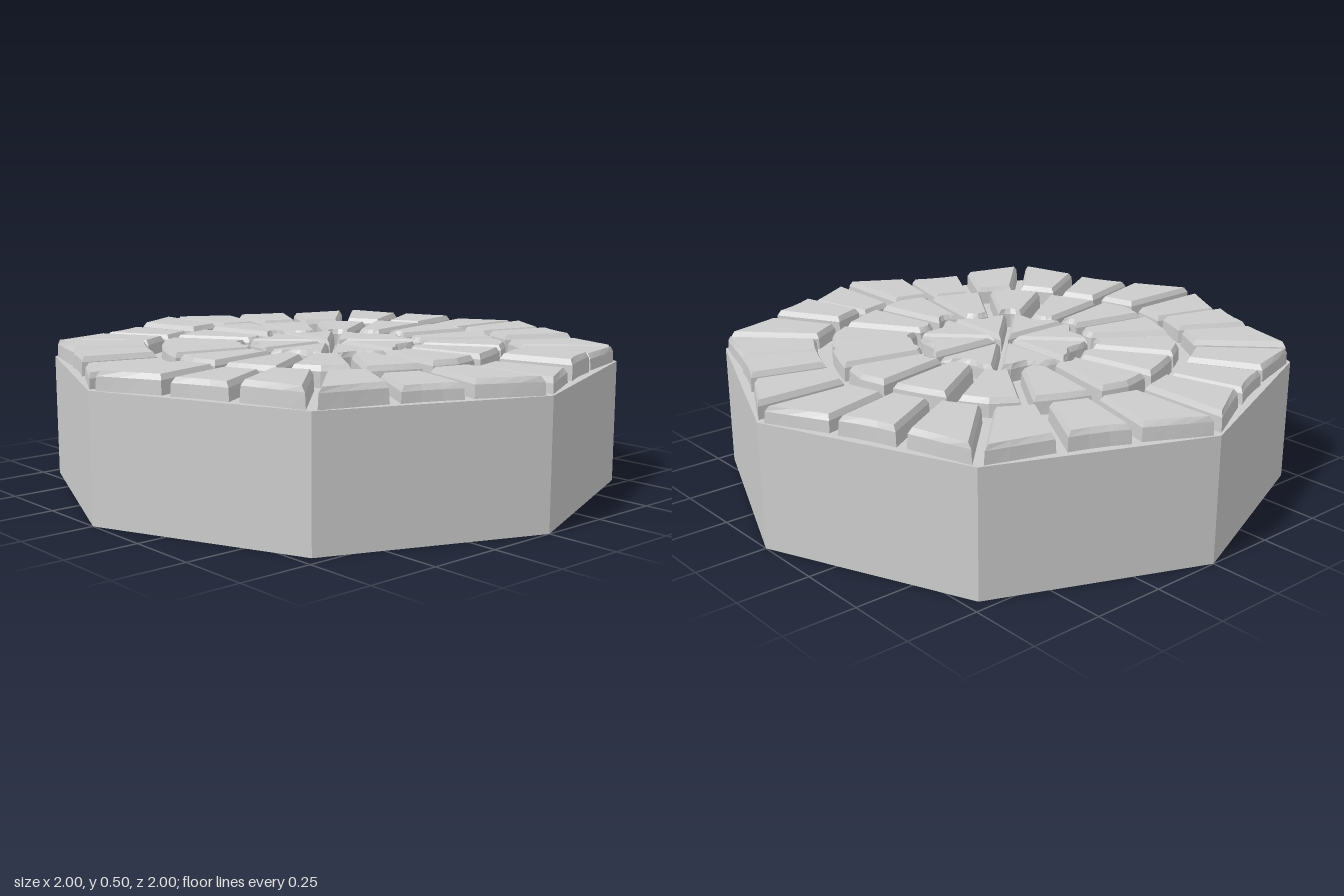
import * as THREE from 'three';

const material = new THREE.MeshStandardMaterial({ color: 0xcccccc, flatShading: true, side: THREE.DoubleSide });
const SECTOR = Math.PI / 4;
const WALL = 0.43; // wall and floor height

// Radius of the unit octagon (corners every 45 degrees) at angle a
const octagon = (a) => {
  const local = ((a % SECTOR) + SECTOR) % SECTOR;
  return Math.cos(SECTOR / 2) / Math.cos(local - SECTOR / 2);
};
// 0 at the octagon corners, 1 in the middle of its sides
const scallop = (a) => Math.sin(4 * a) ** 2;

let seed = 7;
const random = () => (seed = (seed * 16807) % 2147483647) / 2147483647;

// Bevelled paving stone between two spokes, from stacked outlines
function stone(a0, a1, inner, outer, gap, steps, top) {
  const levels = [[0.4, 0], [top - 0.018, 0.004], [top, 0.014]];
  const count = 2 * (steps + 1);
  const positions = [];
  const index = [];
  for (const [y, inset] of levels) {
    const g = gap / 2 + inset;
    const rMin = g / Math.sin((a1 - a0) / 2) + 0.001;
    const point = (t, radius, shift) => {
      const r = Math.max(radius(a0 + (a1 - a0) * t) + shift, rMin);
      const d = Math.asin(g / r);
      const a = a0 + d + (a1 - a0 - 2 * d) * t;
      positions.push(r * Math.sin(a), y, r * Math.cos(a));
    };
    for (let i = 0; i <= steps; i++) point(i / steps, outer, -inset);
    for (let i = steps; i >= 0; i--) point(i / steps, inner, inset);
  }
  // sides and bevel
  for (let l = 0; l < levels.length - 1; l++) {
    for (let i = 0; i < count; i++) {
      const a = l * count + i;
      const b = l * count + ((i + 1) % count);
      index.push(a, b, b + count, a, b + count, a + count);
    }
  }
  // top and underside
  const t = (levels.length - 1) * count;
  for (let i = 0; i < steps; i++) {
    const [a, b, c, d] = [i, i + 1, count - 2 - i, count - 1 - i];
    index.push(t + a, t + b, t + c, t + a, t + c, t + d);
    index.push(a, c, b, a, d, c);
  }
  const geometry = new THREE.BufferGeometry();
  geometry.setAttribute('position', new THREE.Float32BufferAttribute(positions, 3));
  geometry.setIndex(index);
  const flat = geometry.toNonIndexed();
  flat.computeVertexNormals();
  return new THREE.Mesh(flat, material);
}

// Ring of equal stones
function ring(name, { count, start, inner, outer, gap, steps, low, high }) {
  const group = new THREE.Group();
  group.name = name;
  const step = (2 * Math.PI) / count;
  for (let i = 0; i < count; i++) {
    const a = start + i * step;
    const mesh = stone(a, a + step, inner, outer, gap, steps, low + (high - low) * random());
    mesh.name = `${name}Stone${i + 1}`;
    group.add(mesh);
  }
  return group;
}

export function createModel() {
  const model = new THREE.Group();
  model.name = 'octagonalPlatform';

  // Outer wall, open underneath
  const wall = new THREE.Mesh(new THREE.CylinderGeometry(1, 1, WALL, 8, 1, true), material);
  wall.name = 'wall';
  wall.position.y = WALL / 2;
  model.add(wall);

  // Floor between the stones
  const floor = new THREE.Mesh(new THREE.CircleGeometry(1, 8), material);
  floor.name = 'floor';
  floor.rotation.x = -Math.PI / 2;
  floor.position.y = WALL;
  model.add(floor);

  // Three stones along each side of the octagon
  model.add(ring('outerRing', {
    count: 24, start: 0, gap: 0.03, steps: 3, low: 0.48, high: 0.5,
    inner: (a) => 0.66 * (0.65 + 0.35 * octagon(a)),
    outer: (a) => octagon(a) - 0.013 - 0.014 * scallop(a),
  }));

  // Stones centred on the corners and on the sides
  model.add(ring('middleRing', {
    count: 16, start: -SECTOR / 4, gap: 0.032, steps: 4, low: 0.488, high: 0.5,
    inner: (a) => 0.33 - 0.035 * scallop(a),
    outer: (a) => 0.615 * (0.6 + 0.4 * octagon(a)),
  }));

  // Wedges with notched outer ends
  model.add(ring('centre', {
    count: 8, start: 0, gap: 0.016, steps: 6, low: 0.49, high: 0.5,
    inner: () => 0,
    outer: (a) => 0.298 - 0.038 * scallop(a),
  }));

  return model;
}
